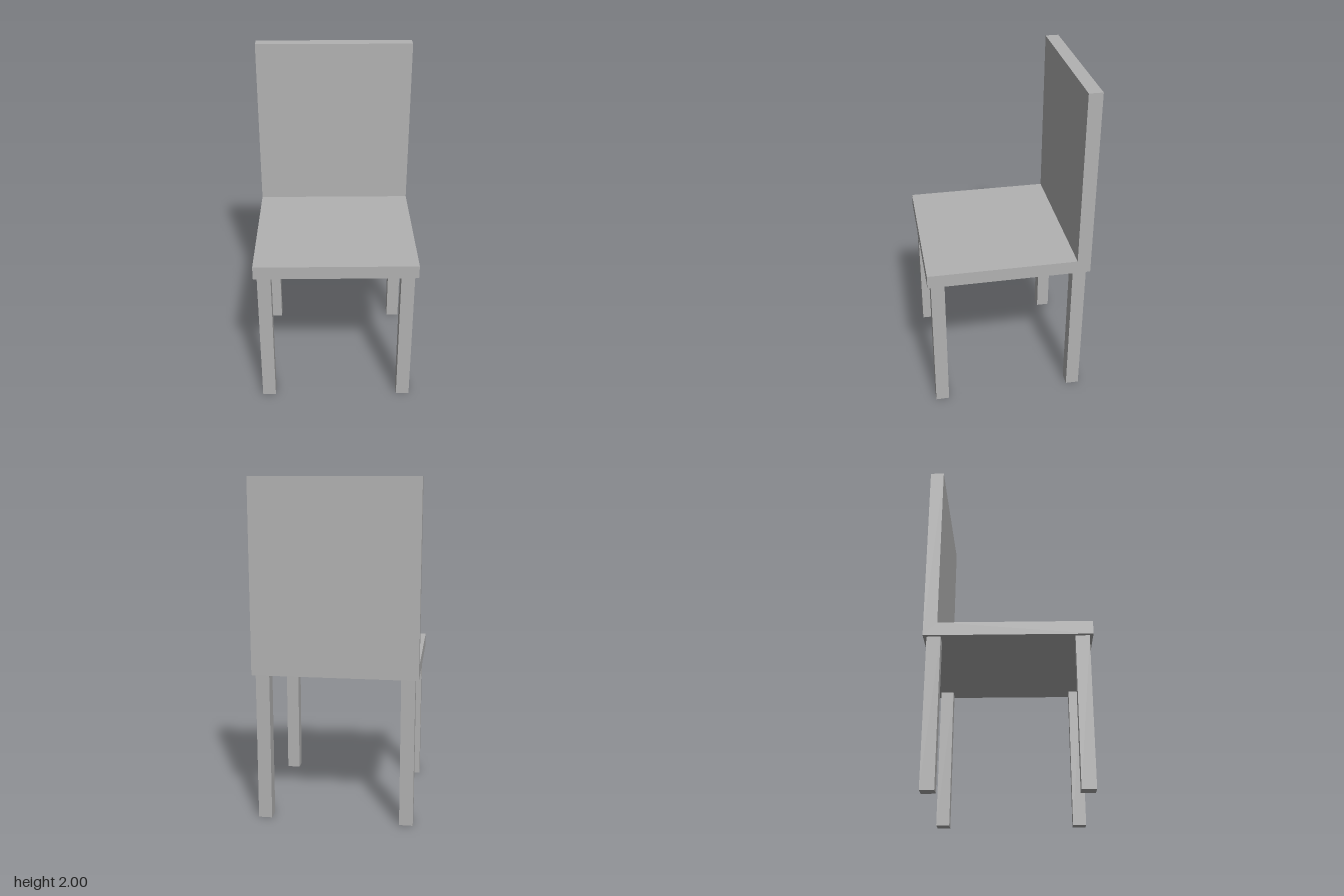
import * as THREE from 'three';

export function createModel() {
  const chair = new THREE.Group();
  chair.name = 'chair';
  const grey = new THREE.MeshStandardMaterial({ color: 0xb2b2b2 });
  grey.name = 'grey';

  const half = 0.48, thick = 0.08, seatBottom = 0.88, height = 2;

  // Seat and backrest: one L-shaped side profile, swept across the width
  const profile = new THREE.Shape([
    [-half, seatBottom], [half, seatBottom], [half, seatBottom + thick],
    [-half + thick, seatBottom + thick], [-half + thick, height], [-half, height],
  ].map(([z, y]) => new THREE.Vector2(-z, y)));
  const seatGeometry = new THREE.ExtrudeGeometry(profile, { depth: half * 2, bevelEnabled: false });
  seatGeometry.translate(0, 0, -half).rotateY(Math.PI / 2);
  const seat = new THREE.Mesh(seatGeometry, grey);
  seat.name = 'seatAndBackrest';
  chair.add(seat);

  // Four square legs, slightly inset from the seat edges
  const legGeometry = new THREE.BoxGeometry(thick, seatBottom, thick);
  for (const [end, z] of [['front', 0.42], ['back', -0.42]]) {
    for (const [side, x] of [['Left', 0.42], ['Right', -0.42]]) {
      const leg = new THREE.Mesh(legGeometry, grey);
      leg.name = `${end}${side}Leg`;
      leg.position.set(x, seatBottom / 2, z);
      chair.add(leg);
    }
  }
  return chair;
}
